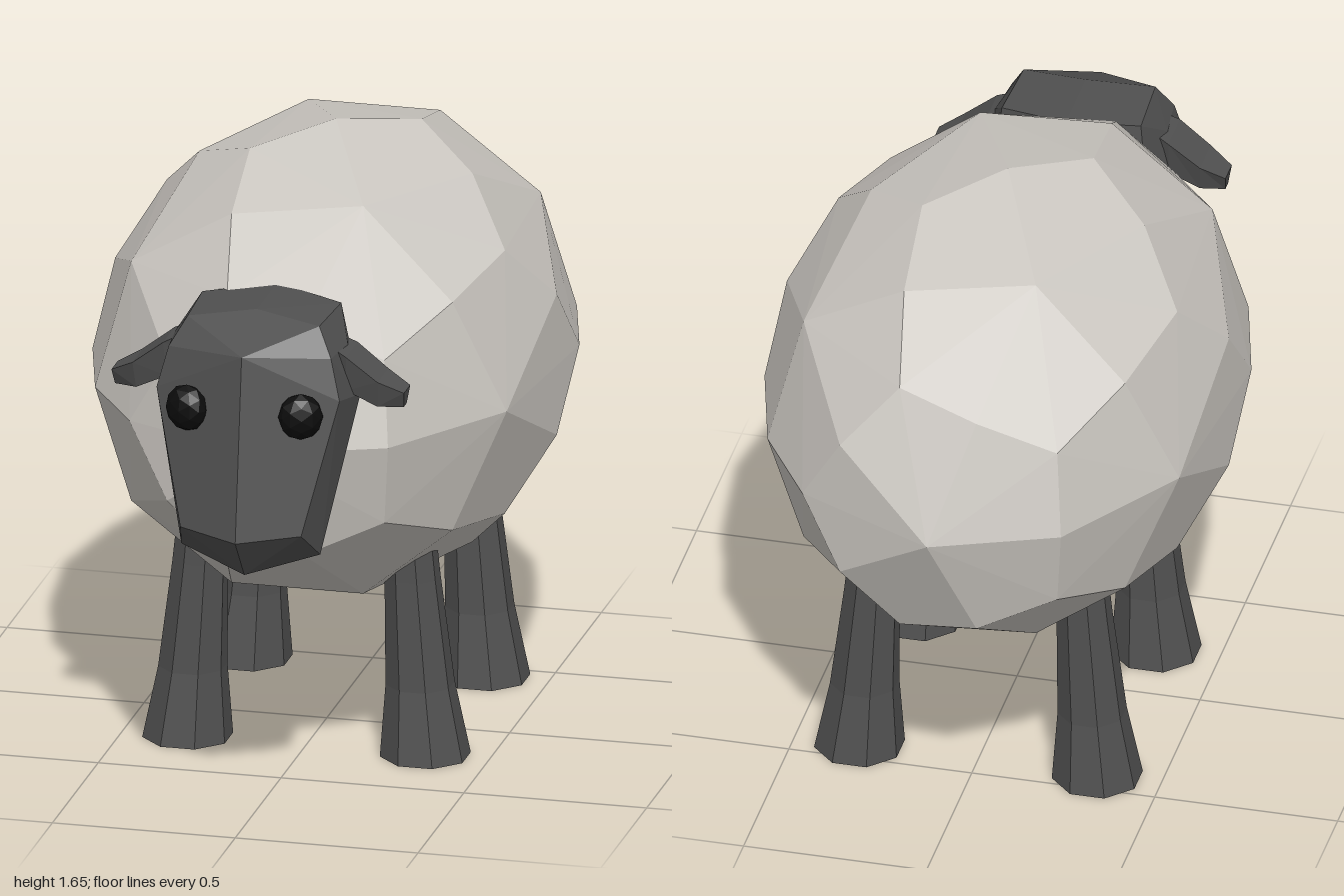
import * as THREE from 'three';
import { ConvexGeometry } from 'three/addons/geometries/ConvexGeometry.js';

const flat = (color, side = THREE.FrontSide) =>
  new THREE.MeshStandardMaterial({ color, flatShading: true, side });
const wool = flat(0xccc8c2);
const skin = flat(0x505050);
const skinOpen = flat(0x505050, THREE.DoubleSide);
const black = flat(0x0c0c0c);

function part(name, geometry, material, parent) {
  const mesh = new THREE.Mesh(geometry, material);
  mesh.name = name;
  parent.add(mesh);
  return mesh;
}

// Fleece: rings of points on an ellipsoid whose pole lies along z
function fleeceGeometry() {
  const points = [];
  const ring = (radius, z, count, phase) => {
    for (let i = 0; i < count; i++) {
      const a = THREE.MathUtils.degToRad(phase + (i * 360) / count);
      points.push(new THREE.Vector3(
        radius * Math.cos(a) * 0.635, 1.01 + radius * Math.sin(a) * 0.64, -0.1 + z * 0.9));
    }
  };
  const rings = [[0.526, 0.851, 0], [0.607, 0.795, 36], [0.851, 0.526, 36],
    [0.894, 0.447, 0], [0.982, 0.188, 36]];
  for (const s of [1, -1]) {
    ring(0, s, 1, 0);
    for (const [r, z, phase] of rings) ring(r, s * z, 5, phase + (s < 0 ? 36 : 0));
  }
  ring(1, 0, 10, 18);
  return new ConvexGeometry(points);
}

// Head: hull of a centre ridge and mirrored side points
function headGeometry() {
  const ridge = [[1.405, 0.54], [1.405, 0.76], [1.325, 0.93], [0.825, 1.0],
    [0.705, 0.9], [0.765, 0.68]];
  const sides = [[0.18, 1.385, 0.8], [0.19, 1.385, 0.6], [0.222, 1.31, 0.84],
    [0.25, 1.2, 0.86], [0.165, 0.84, 0.94], [0.19, 0.755, 0.83],
    [0.275, 1.18, 0.73], [0.235, 1.31, 0.71], [0.21, 1.2, 0.58], [0.16, 0.8, 0.64]];
  const points = ridge.map(([y, z]) => new THREE.Vector3(0, y, z));
  for (const [x, y, z] of sides)
    for (const s of [1, -1]) points.push(new THREE.Vector3(s * x, y, z));
  return new ConvexGeometry(points);
}

// Ear: four-sided sections [x, top, bottom, back, front] joined from root to tip
function earGeometry() {
  const sections = [[0.17, 1.34, 1.26, 0.68, 0.77], [0.25, 1.3, 1.2, 0.66, 0.79],
    [0.335, 1.235, 1.16, 0.665, 0.785], [0.4, 1.2, 1.155, 0.685, 0.755]];
  const positions = [];
  const index = [];
  for (const [x, t, b, z0, z1] of sections)
    positions.push(x, t, z0, x, t, z1, x - 0.005, b, z1 - 0.02, x - 0.005, b, z0 + 0.02);
  for (let i = 0; i < sections.length - 1; i++)
    for (let k = 0; k < 4; k++) {
      const a = i * 4 + k, b = i * 4 + ((k + 1) % 4);
      index.push(a, b, a + 4, b, b + 4, a + 4);
    }
  const e = (sections.length - 1) * 4;
  index.push(e, e + 1, e + 2, e, e + 2, e + 3);
  const geometry = new THREE.BufferGeometry();
  geometry.setAttribute('position', new THREE.Float32BufferAttribute(positions, 3));
  geometry.setIndex(index);
  geometry.computeVertexNormals();
  return geometry;
}

// Leg: flared eight-sided tube, open below, leaning inward towards the top
function legGeometry() {
  const profile = [[0.122, 0], [0.093, 0.2], [0.075, 0.5], [0.068, 0.7]]
    .map(([r, y]) => new THREE.Vector2(r, y));
  const geometry = new THREE.LatheGeometry(profile, 8, Math.PI / 8);
  const p = geometry.attributes.position;
  for (let i = 0; i < p.count; i++) p.setX(i, p.getX(i) + 0.325 - 0.07 * p.getY(i));
  geometry.computeVertexNormals();
  return geometry;
}

export function createModel() {
  const model = new THREE.Group();
  model.name = 'sheep';
  part('fleece', fleeceGeometry(), wool, model);

  const head = new THREE.Group();
  head.name = 'head';
  model.add(head);
  part('skull', headGeometry(), skin, head);

  const ear = earGeometry();
  const leg = legGeometry();
  const eye = new THREE.IcosahedronGeometry(1, 1);
  for (const [s, side] of [[1, 'left'], [-1, 'right']]) {
    part(side + 'Ear', ear, skinOpen, head).scale.x = s;
    const eyeball = part(side + 'Eye', eye, black, head);
    eyeball.position.set(s * 0.156, 1.165, 0.908);
    eyeball.scale.set(0.06, 0.064, 0.042);
    eyeball.rotation.y = s * 0.3;
    for (const [z, end] of [[0.222, 'Front'], [-0.427, 'Back']]) {
      const limb = part(side + end + 'Leg', leg, skinOpen, model);
      limb.position.z = z;
      limb.scale.x = s;
    }
  }
  return model;
}
